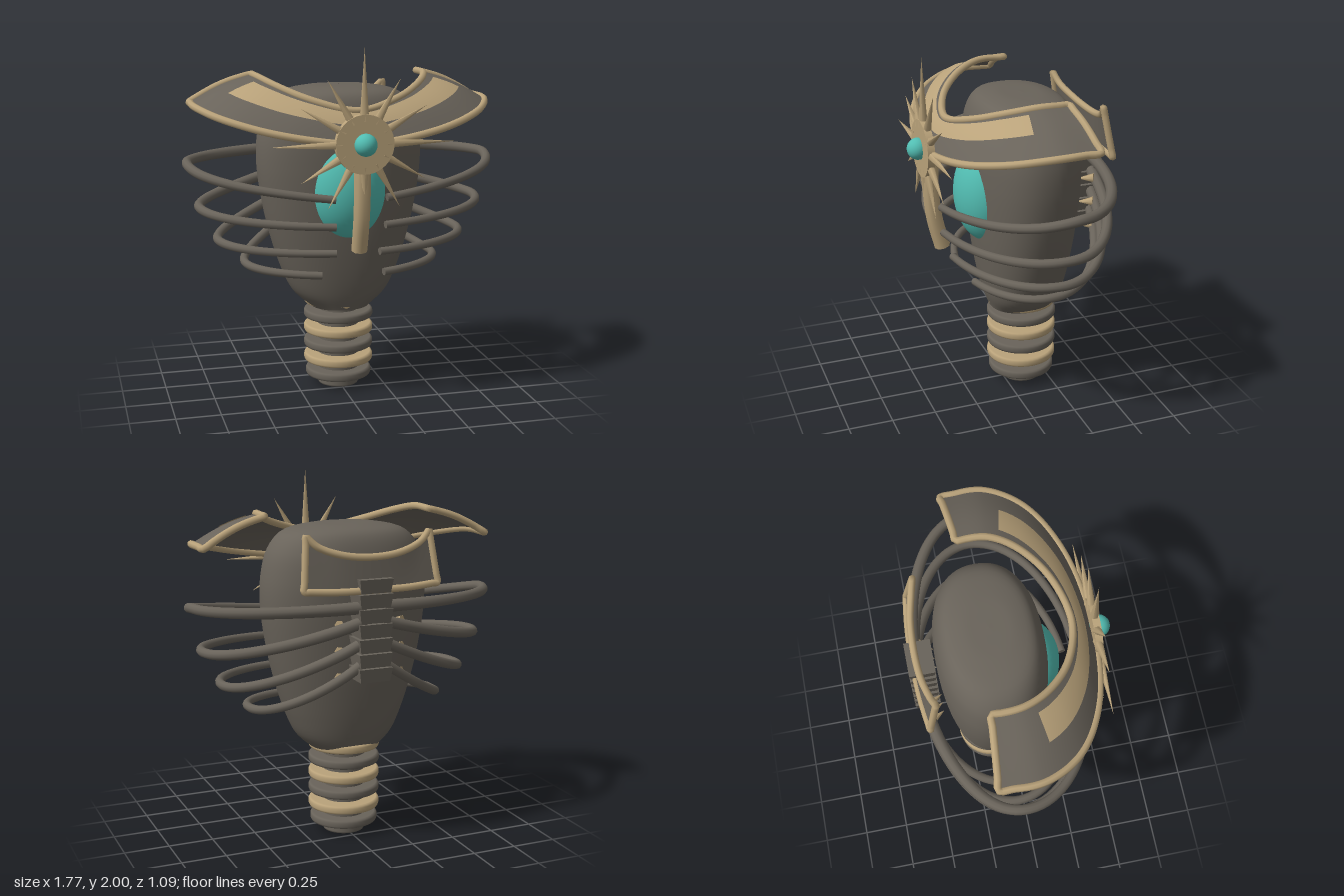
import * as THREE from 'three';
import { ParametricGeometry } from 'three/addons/geometries/ParametricGeometry.js';

const V = (x, y, z) => new THREE.Vector3(x, y, z);
const curve = (pts, closed = false) => new THREE.CatmullRomCurve3(pts, closed, 'centripetal');

export function createModel() {
  const model = new THREE.Group();
  const stone = new THREE.MeshStandardMaterial({ color: 0x69635a, side: THREE.DoubleSide });
  stone.name = 'dark stone';
  const bone = new THREE.MeshStandardMaterial({ color: 0xb9a27a, side: THREE.DoubleSide });
  bone.name = 'pale bone';
  const teal = new THREE.MeshStandardMaterial({ color: 0x52bdb2 });
  teal.name = 'teal glow';

  const add = (name, geometry, material, x = 0, y = 0, z = 0) => {
    const mesh = new THREE.Mesh(geometry, material);
    mesh.name = name;
    mesh.position.set(x, y, z);
    model.add(mesh);
    return mesh;
  };

  // Tube that narrows from r0 to r1, with flat end caps
  const taperedTube = (name, path, r0, r1, segs, sides, material) => {
    const geo = new THREE.TubeGeometry(path, segs, r0, sides);
    const pos = geo.attributes.position;
    const p = V(0, 0, 0);
    for (let i = 0; i < pos.count; i++) {
      const t = Math.floor(i / (sides + 1)) / segs;
      const c = path.getPointAt(t);
      p.fromBufferAttribute(pos, i).sub(c).multiplyScalar(1 + (r1 / r0 - 1) * t).add(c);
      pos.setXYZ(i, p.x, p.y, p.z);
    }
    add(name, geo, material);
    for (const [t, r, s] of [[0, r0, -1], [1, r1, 1]]) {
      const c = path.getPointAt(t);
      const cap = add(name + 'End', new THREE.CircleGeometry(r, sides), material, c.x, c.y, c.z);
      cap.quaternion.setFromUnitVectors(V(0, 0, 1), path.getTangentAt(t).multiplyScalar(s));
    }
  };

  // Cone from a base point towards a tip
  const thorn = (name, from, to, r, sides) => {
    const d = to.clone().sub(from);
    const mid = from.clone().add(to).multiplyScalar(0.5);
    const cone = add(name, new THREE.ConeGeometry(r, d.length(), sides), bone, mid.x, mid.y, mid.z);
    cone.quaternion.setFromUnitVectors(V(0, 1, 0), d.normalize());
  };

  // Torso: rounded oval sections, each row is half width, height, half depth
  const torso = curve([
    V(0.17, 0.49, 0.18), V(0.27, 0.58, 0.21), V(0.33, 0.7, 0.235), V(0.395, 0.9, 0.262),
    V(0.44, 1.1, 0.28), V(0.468, 1.32, 0.292), V(0.462, 1.48, 0.292), V(0.425, 1.62, 0.275),
    V(0.35, 1.71, 0.235), V(0.2, 1.75, 0.15), V(0.001, 1.757, 0.001)]);
  const soft = (n) => Math.sign(n) * Math.pow(Math.abs(n), 0.88);
  add('torso', new ParametricGeometry((u, v, out) => {
    const row = torso.getPoint(v);
    const a = u * Math.PI * 2;
    out.set(row.x * soft(Math.cos(a)), row.y, -0.1 - row.z * soft(Math.sin(a)));
  }, 64, 44), stone);

  // Glowing core in the chest
  add('core', new THREE.SphereGeometry(1, 40, 28), teal, 0, 1.2, 0.1).scale.set(0.215, 0.285, 0.18);

  // Lower column with alternating rings
  const disc = (r, h, b) => new THREE.LatheGeometry([
    [0, -h], [r - b, -h], [r - b * 0.3, -h + b * 0.3], [r, -h + b], [r, h - b],
    [r - b * 0.3, h - b * 0.3], [r - b, h], [0, h]].map(([x, y]) => new THREE.Vector2(x, y)), 40);
  add('column', disc(0.12, 0.26, 0.015), stone, 0, 0.26, -0.112);
  for (let i = 0; i < 6; i++) {
    add('columnRing', disc(i ? 0.2 : 0.19, 0.025, 0.015), i % 2 ? bone : stone,
      0, 0.08 + i * 0.088, -0.112);
  }

  // Ribs: half width, front z, heights at front, side and back, end x, thickness
  const ribs = [
    [0.86, 0.41, 1.185, 1.345, 1.36, 0.14, 0.034],
    [0.8, 0.4, 1.045, 1.1, 1.3, 0.135, 0.032],
    [0.7, 0.345, 0.89, 0.91, 1.2, 0.12, 0.03],
    [0.55, 0.25, 0.74, 0.77, 1.1, 0.175, 0.028]];
  for (const s of [1, -1]) {
    for (const [w, zf, yf, ym, yb, xe, r] of ribs) {
      const pts = [];
      const end = Math.PI - Math.asin(xe / w);
      for (let i = 0; i <= 16; i++) {
        const a = 0.06 + (end - 0.06) * i / 16;
        const k = a / (Math.PI / 2) - 1; // -1 back, 0 side, 1 front
        const y = k < 0 ? ym + (yb - ym) * k * k : ym + (yf - ym) * k;
        const z = -0.08 - Math.cos(a) * (k < 0 ? 0.42 : zf + 0.08);
        pts.push(V(s * w * Math.sin(a), y, z));
      }
      taperedTube('rib', curve(pts), r, 0.021, 56, 10, stone);
    }
    // Small thorns beside the spine
    for (const y of [1.27, 1.13, 0.99]) {
      thorn('spineThorn', V(s * 0.18, y, -0.47), V(s * 0.13, y - 0.01, -0.39), 0.026, 6);
    }
  }

  // Spine of stacked blocks, each slightly wider at the top
  for (let i = 0; i < 7; i++) {
    const block = new THREE.CylinderGeometry(0.135, 0.118, 0.074, 4);
    block.rotateY(Math.PI / 4).scale(1, 1, 0.74);
    add('vertebra', block.toNonIndexed(), stone, 0, 1.473 - i * 0.079, -0.473)
      .geometry.computeVertexNormals();
  }

  // Curved sheet between two edges with a tube border round it
  const mirrored = (half) => curve([
    ...half, ...half.slice(0, -1).reverse().map((p) => V(-p.x, p.y, p.z))]);
  const sheet = (lower, upper, bulge) => (u, v, out) => {
    out.copy(lower.getPoint(u)).lerp(upper.getPoint(u), v);
    out.y += bulge * Math.sin(Math.PI * v);
  };
  const border = (name, f, r) => {
    const pts = [];
    const put = (u, v) => { const p = V(0, 0, 0); f(u, v, p); pts.push(p); };
    for (let i = 0; i < 24; i++) put(i / 24, 0);
    for (let i = 0; i < 6; i++) put(1, i / 6);
    for (let i = 0; i < 24; i++) put(1 - i / 24, 1);
    for (let i = 0; i < 6; i++) put(0, 1 - i / 6);
    add(name, new THREE.TubeGeometry(curve(pts, true), 240, r, 8, true), bone);
  };

  // Shoulder collar
  const collar = sheet(
    mirrored([V(0.82, 1.67, -0.21), V(0.82, 1.665, 0.02), V(0.7, 1.62, 0.23),
      V(0.42, 1.55, 0.39), V(0, 1.5, 0.45)]),
    mirrored([V(0.48, 1.815, -0.18), V(0.47, 1.815, -0.02), V(0.4, 1.78, 0.12),
      V(0.24, 1.715, 0.26), V(0, 1.66, 0.33)]), 0.02);
  add('collar', new ParametricGeometry(collar, 64, 12), stone);
  border('collarBorder', collar, 0.02);
  add('collarInlay', new ParametricGeometry((u, v, out) => {
    collar(0.17 + u * 0.66, 0.42 + v * 0.42, out);
    out.y += 0.007;
    out.z += 0.005;
  }, 64, 8), bone);

  // Back plate with a dipped top edge
  const backPlate = sheet(
    mirrored([V(0.38, 1.46, -0.485), V(0.2, 1.45, -0.505), V(0, 1.45, -0.512)]),
    mirrored([V(0.35, 1.735, -0.435), V(0.29, 1.68, -0.455), V(0.16, 1.635, -0.485),
      V(0, 1.62, -0.495)]), 0);
  add('backPlate', new ParametricGeometry(backPlate, 32, 8), stone);
  border('backPlateBorder', backPlate, 0.019);

  // Breastbone
  taperedTube('breastbone', curve([V(0, 1.5, 0.415), V(0, 1.3, 0.42), V(0, 1.1, 0.405),
    V(0, 0.91, 0.36)]), 0.047, 0.045, 24, 8, bone);

  // Sunburst medallion
  add('medallion', new THREE.CylinderGeometry(0.157, 0.157, 0.04, 40), bone, 0, 1.5, 0.455)
    .rotation.x = Math.PI / 2;
  add('medallionGem', new THREE.SphereGeometry(0.06, 28, 20), teal, 0, 1.5, 0.485);
  for (let i = 0; i < 12; i++) {
    const a = i * Math.PI / 6;
    const tip = i % 3 === 0 && i !== 9 ? 0.5 : 0.39;
    const at = (r) => V(Math.cos(a) * r, 1.5 + Math.sin(a) * r, 0.452);
    thorn('sunRay', at(0.12), at(tip), 0.026, 6);
  }
  return model;
}
